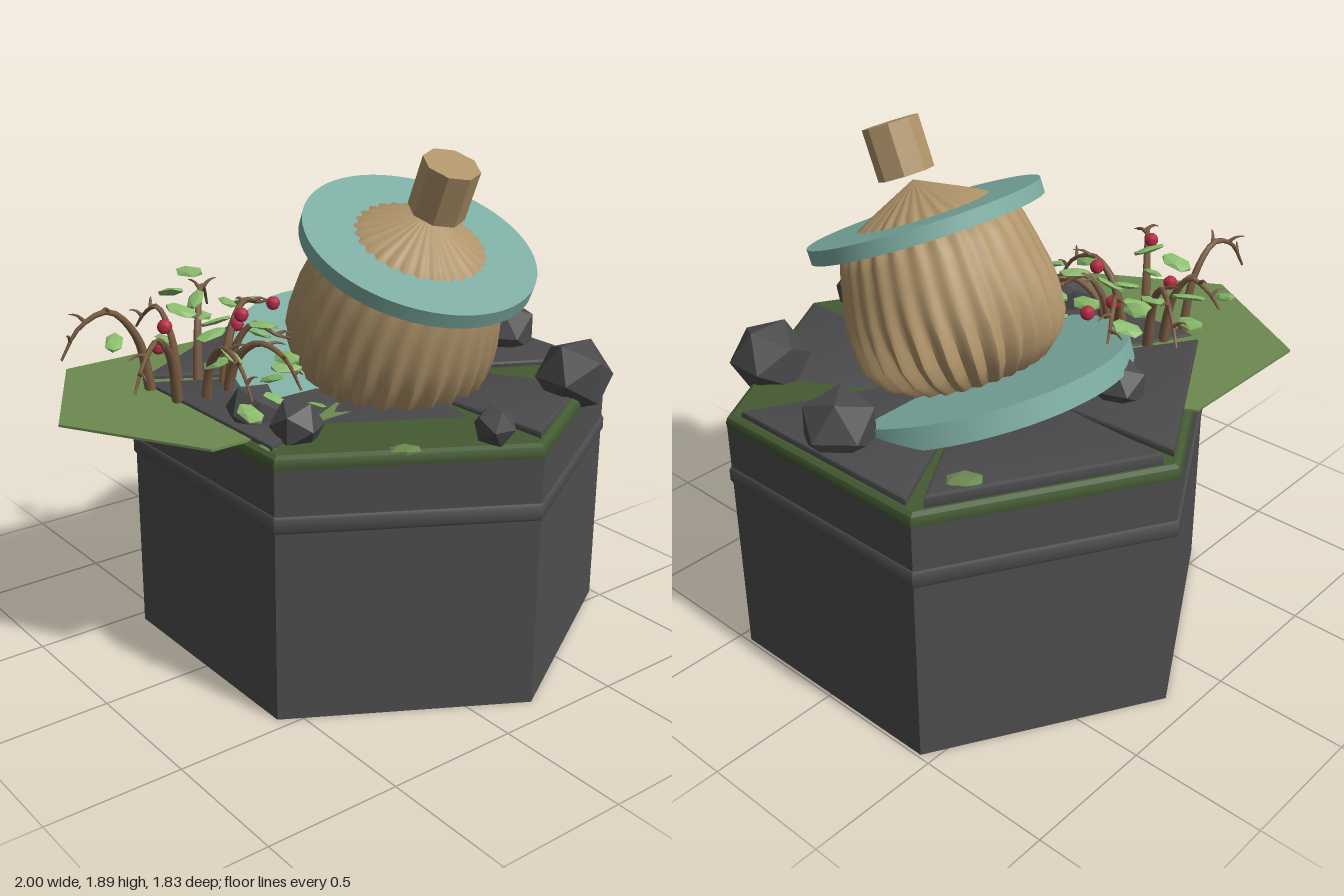
import * as THREE from 'three';
import { toCreasedNormals } from 'three/addons/utils/BufferGeometryUtils.js';

const mat = (name, color) => Object.assign(new THREE.MeshStandardMaterial({ color }), { name });
const V = (x, y, z) => new THREE.Vector3(x, y, z);

export function createModel() {
  const stone = mat('stone', 0x4e4e4e), slate = mat('slate', 0x4a494b), moss = mat('moss', 0x435a32);
  const grass = mat('grass', 0x6c8a50), leafGreen = mat('leaf green', 0x8abb6c), teal = mat('teal', 0x7dada2);
  const tan = mat('tan', 0xb0946a), bark = mat('bark', 0x7a5c42), red = mat('red', 0xb52c45);
  const model = new THREE.Group();

  const add = (name, geo, material, pos = [0, 0, 0], parent = model, crease = 0.5) => {
    const m = new THREE.Mesh(toCreasedNormals(geo, crease), material);
    m.name = name;
    m.position.set(...pos);
    parent.add(m);
    return m;
  };
  const lathe = (pts, seg) => new THREE.LatheGeometry(pts.map(p => new THREE.Vector2(...p)), seg);
  const CX = 0.205;

  // Hexagonal plinth, its band and the rounded moss rim
  add('plinth', lathe([[0, 0], [0.905, 0], [0.905, 0.94], [0, 0.94]], 6), stone, [CX, 0, 0]);
  add('plinthBand', lathe([[0.89, 0.705], [0.908, 0.71], [0.914, 0.72], [0.914, 0.762], [0.908, 0.772], [0.89, 0.777]], 6),
    stone, [CX, 0, 0]);
  add('mossTop', lathe([[0, 0.925], [0.89, 0.925], [0.905, 0.937], [0.908, 0.955], [0.9, 0.975], [0.882, 0.985], [0, 0.985]], 6),
    moss, [CX, 0, 0]);

  // Wedge paving slabs: [angle, top height, roll, pitch]
  const wedge = new THREE.Shape([[0.3, -0.15], [0.745, -0.385], [0.745, 0.385], [0.3, 0.15]]
    .map(([u, v]) => new THREE.Vector2(u - 0.53, v)));
  const slabs = [[0, 1.008, 0, 0], [60, 1.025, 0, 0.01], [120, 1.01, 0, 0],
    [180, 1.002, 0, 0], [240, 0.983, 0, -0.06], [300, 0.992, -0.04, 0]];
  for (const [deg, top, roll, pitch] of slabs) {
    const a = THREE.MathUtils.degToRad(deg);
    const g = new THREE.ExtrudeGeometry(wedge, {
      depth: 0.04, bevelThickness: 0.01, bevelSize: 0.014, bevelSegments: 2 });
    g.rotateX(-Math.PI / 2).translate(0, -0.05, 0);
    const m = add('pavingSlab', g, slate, [CX + 0.53 * Math.cos(a), top, -0.53 * Math.sin(a)]);
    m.rotation.set(roll, a, pitch, 'YXZ');
  }

  // Overhanging grass sheet and small tufts
  const sheet = new THREE.CylinderGeometry(0.59, 0.59, 0.009, 6);
  sheet.rotateY(Math.PI / 6);
  add('grassSheet', sheet, grass, [-0.41, 0.986, -0.23]);
  for (const [x, z, r, y] of [[-0.19, 0.655, 0.058, 0.985], [0.775, -0.48, 0.07, 1.025], [-0.54, 0.36, 0.04, 0.985]]) {
    const m = add('grassTuft', new THREE.IcosahedronGeometry(r, 0), grass, [x, y, z]);
    m.scale.set(1, 0.2, 0.75);
    m.rotation.y = x * 3;
  }

  // Loose rocks: x, y, z, radius
  const rocks = [[0.68, 1.04, 0.58, 0.147], [0.84, 1.045, 0.03, 0.142], [0.092, 1.04, 0.78, 0.076],
    [-0.41, 1.03, 0.35, 0.096], [-0.44, 1.03, 0.135, 0.1], [-0.01, 1.04, -0.48, 0.105]];
  rocks.forEach(([x, y, z, r], i) => {
    add('rock', new THREE.IcosahedronGeometry(r, 0), slate, [x, y, z], model, 0.1).rotation.y = i * 0.7;
  });

  // Half-sunken disc leaning behind the pot
  add('sunkenDisc', new THREE.CylinderGeometry(0.57, 0.57, 0.085, 64), teal, [CX, 0.97, 0]).rotation.x = 0.33;

  // Tilted pleated pot with brim and floating knob; local origin is the apex
  const pot = new THREE.Group();
  pot.name = 'pot';
  pot.position.set(CX, 1.66, 0.3);
  pot.rotation.x = 0.4;
  model.add(pot);
  const body = lathe([[0, -0.765], [0.17, -0.76], [0.27, -0.72], [0.335, -0.66], [0.37, -0.59], [0.38, -0.5],
    [0.378, -0.42], [0.36, -0.32], [0.34, -0.23], [0.31, -0.16], [0.2, -0.098], [0, 0]], 168);
  const p = body.attributes.position;
  for (let i = 0; i < p.count; i++) {
    const x = p.getX(i), y = p.getY(i), z = p.getZ(i);
    const depth = y > -0.17 ? 0.035 : 0.012 + 0.04 * THREE.MathUtils.smoothstep(-y, 0.3, 0.7);
    const k = 1 + depth * Math.cos(28 * Math.atan2(x, z));
    p.setXYZ(i, x * k, y, z * k);
  }
  add('potBody', body, tan, [0, 0, 0], pot, 0.8);
  add('potBrim', new THREE.CylinderGeometry(0.43, 0.43, 0.055, 64), teal, [0, -0.147, 0], pot);
  add('potKnob', new THREE.CylinderGeometry(0.103, 0.103, 0.19, 8), tan, [0, 0.117, 0.025], pot);

  // Tapered branch along a curve
  const bush = new THREE.Group();
  bush.name = 'berryBush';
  model.add(bush);
  const branch = (name, pts, r, seg) => {
    const curve = new THREE.CatmullRomCurve3(pts), sides = 6;
    const g = new THREE.TubeGeometry(curve, seg, r, sides);
    const q = g.attributes.position, v = V(0, 0, 0);
    for (let i = 0; i < q.count; i++) {
      const t = Math.floor(i / (sides + 1)) / seg, c = curve.getPointAt(t);
      v.fromBufferAttribute(q, i).sub(c).multiplyScalar(1 - 0.8 * t).add(c);
      q.setXYZ(i, v.x, v.y, v.z);
    }
    add(name, g, bark, [0, 0, 0], bush, 1.2);
    return curve;
  };

  // Arching branches: root x, z, tip x, y, z, peak height
  const arches = [[-0.56, -0.35, -0.9, 1.16, -0.38, 1.31], [-0.55, -0.18, -0.86, 1.15, 0.06, 1.27],
    [-0.38, -0.32, -0.14, 1.18, -0.62, 1.3], [-0.33, -0.22, 0.03, 1.2, -0.45, 1.26],
    [-0.45, -0.34, -0.5, 1.17, -0.55, 1.27], [-0.36, -0.15, -0.23, 1.05, 0.13, 1.2],
    [-0.46, -0.14, -0.48, 1.08, 0.19, 1.22], [-0.34, -0.18, -0.18, 1.2, 0.0, 1.25]];
  arches.forEach(([rx, rz, tx, ty, tz, peak], n) => {
    const at = (f, y) => V(rx + (tx - rx) * f, y, rz + (tz - rz) * f);
    const c = branch('branch', [V(rx, 0.97, rz), at(0.15, 1 + (peak - 1) * 0.65),
      at(0.45, peak), at(0.78, peak - 0.04), V(tx, ty, tz)], 0.022, 16);
    // Side twigs
    [0.6, 0.75, 0.88].forEach((t, k) => {
      const s = c.getPointAt(t), d = c.getTangentAt(t), side = k % 2 ? 1 : -1;
      const e = s.clone().add(V(d.x * 0.05 - d.z * 0.05 * side, 0.025 - 0.03 * (n % 2), d.z * 0.05 + d.x * 0.05 * side));
      branch('twig', [s, s.clone().lerp(e, 0.5).add(V(0, 0.01, 0)), e], 0.009, 4);
    });
  });

  // Leaves: x, y, z, heading
  const leaves = [[-0.235, 1.33, -0.59, 0.5], [-0.635, 1.15, -0.48, -0.6], [-0.44, 1.33, -0.39, 0.3],
    [-0.32, 1.22, -0.39, 0.2], [-0.365, 1.3, -0.34, -0.7], [-0.28, 1.2, -0.34, 0.9], [-0.18, 1.24, -0.41, -0.3],
    [-0.5, 1.31, -0.22, 0.8], [-0.385, 1.2, -0.21, 1.2], [-0.2, 1.18, -0.17, 0.1], [-0.03, 1.2, -0.13, 0.5],
    [-0.45, 1.14, -0.08, 0.3], [-0.26, 1.25, -0.06, 0.7], [-0.46, 1.2, 0.04, -0.1], [-0.32, 1.1, 0.08, 0.1],
    [-0.235, 1.15, 0.05, 0.2], [-0.4, 1.08, 0.2, 0.4], [-0.25, 1.03, 0.24, -0.2], [-0.18, 1.08, -0.03, 1.0],
    [-0.55, 1.08, 0.28, 0.1], [-0.08, 1.22, -0.45, 0.6], [-0.42, 1.12, -0.48, -0.2]];
  leaves.forEach(([x, y, z, heading], i) => {
    const m = add('leaf', new THREE.IcosahedronGeometry(1, 0), leafGreen, [x, y, z], bush, 0.1);
    m.scale.set(0.036, 0.012, 0.066);
    m.rotation.set(0.35 * Math.sin(i * 2.1), heading, 0.4 * Math.cos(i * 1.7), 'YXZ');
  });

  // Berries
  const berries = [[-0.24, 1.2, -0.26], [-0.615, 1.29, -0.145], [-0.305, 1.28, -0.13],
    [-0.05, 1.24, -0.295], [-0.565, 1.17, -0.28]];
  for (const b of berries) add('berry', new THREE.IcosahedronGeometry(0.027, 1), red, b, bush, 1);

  return model;
}
